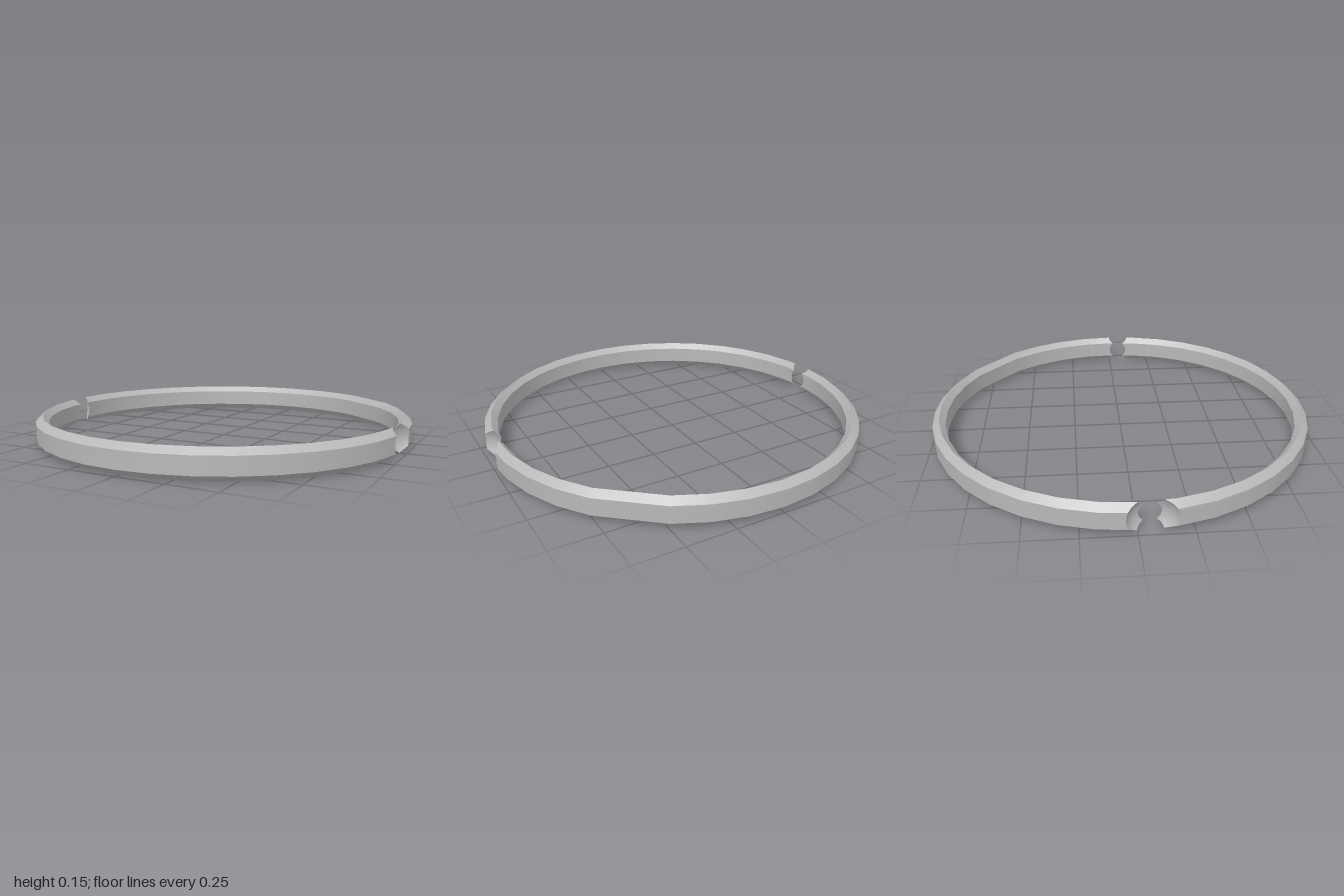
import * as THREE from 'three';
import { toCreasedNormals } from 'three/addons/utils/BufferGeometryUtils.js';

const STEP = 10; // degrees per facet
const MID = 0.0735; // half the ring height
const BITE = { x: 1.044, z: 0.065, r: 0.127 }; // ball that scoops out each gap

// Hexagonal section as [radius, height], each edge subdivided for the curved ends
function sectionPoints() {
  const corners = [[1, 0.03], [1, 0.117], [0.964, 0.147], [0.934, 0.117], [0.934, 0.03], [0.964, 0]];
  const out = [];
  corners.forEach(([r, y], i) => {
    const [r2, y2] = corners[(i + 1) % 6];
    for (let k = 0; k < 4; k++) out.push([r + (r2 - r) * k / 4, y + (y2 - y) * k / 4]);
  });
  return out;
}

// Point on the faceted ring at an angle in degrees
function ringPoint(angle, [radius, y]) {
  const k = Math.floor(angle / STEP);
  const corner = (i) => {
    const a = THREE.MathUtils.degToRad(i * STEP);
    return new THREE.Vector3(radius * Math.cos(a), y, radius * Math.sin(a));
  };
  return corner(k).lerp(corner(k + 1), angle / STEP - k);
}

const biteCentre = (side) => new THREE.Vector3(side * BITE.x, MID, BITE.z);

// Angle where the ball surface meets the ring, searching forward or backward from the gap
function cutAngle(point, direction) {
  const c = biteCentre(1);
  let inside = 3.9, outside = 3.9 + direction * 15;
  for (let i = 0; i < 40; i++) {
    const m = (inside + outside) / 2;
    if (ringPoint(m, point).distanceTo(c) < BITE.r) inside = m;
    else outside = m;
  }
  return outside;
}

// Concave end: shrinks the end loop to its centre along the ball surface
function scoop(loop, side) {
  const c = biteCentre(side);
  const centre = loop.reduce((s, p) => s.add(p), new THREE.Vector3()).divideScalar(loop.length);
  return [0.25, 0.5, 0.75, 1].map((t) => loop.map((p) =>
    p.clone().lerp(centre, t).sub(c).setLength(BITE.r).add(c)));
}

// Skin over closed loops
function skin(rows) {
  const pos = [];
  const tri = (a, b, c) => {
    const area = b.clone().sub(a).cross(c.clone().sub(a)).length();
    if (area > 1e-9) for (const p of [a, b, c]) pos.push(p.x, p.y, p.z);
  };
  for (let i = 0; i < rows.length - 1; i++) {
    const n = rows[i].length;
    for (let j = 0; j < n; j++) {
      const k = (j + 1) % n;
      tri(rows[i][j], rows[i][k], rows[i + 1][j]);
      tri(rows[i][k], rows[i + 1][k], rows[i + 1][j]);
    }
  }
  const g = new THREE.BufferGeometry();
  g.setAttribute('position', new THREE.Float32BufferAttribute(pos, 3));
  return toCreasedNormals(g, 0.55);
}

function halfRing(front, skipAngle) {
  const section = sectionPoints();
  const cuts = section.map((p) => cutAngle(p, front ? 1 : -1));
  const rows = [];
  const first = front ? 0 : -190, last = front ? 180 : 10;
  for (let a = first; a <= last; a += STEP) {
    if (a === skipAngle) continue;
    rows.push(section.map((p, j) => {
      const lo = front ? cuts[j] : -180 - cuts[j];
      const hi = front ? 180 - cuts[j] : cuts[j];
      return ringPoint(THREE.MathUtils.clamp(a, lo, hi), p);
    }));
  }
  const startCap = scoop(rows[0], front ? 1 : -1).reverse();
  const endCap = scoop(rows[rows.length - 1], front ? -1 : 1);
  return skin([...startCap, ...rows, ...endCap]);
}

export function createModel() {
  const group = new THREE.Group();
  group.name = 'splitRing';
  const grey = new THREE.MeshStandardMaterial({ color: 0xb8b8b8 });
  grey.name = 'grey';

  const frontHalf = new THREE.Mesh(halfRing(true), grey);
  frontHalf.name = 'frontHalfRing';

  // One long flat facet at the rear left
  const backHalf = new THREE.Mesh(halfRing(false, -50), grey);
  backHalf.name = 'backHalfRing';

  group.add(frontHalf, backHalf);
  return group;
}
